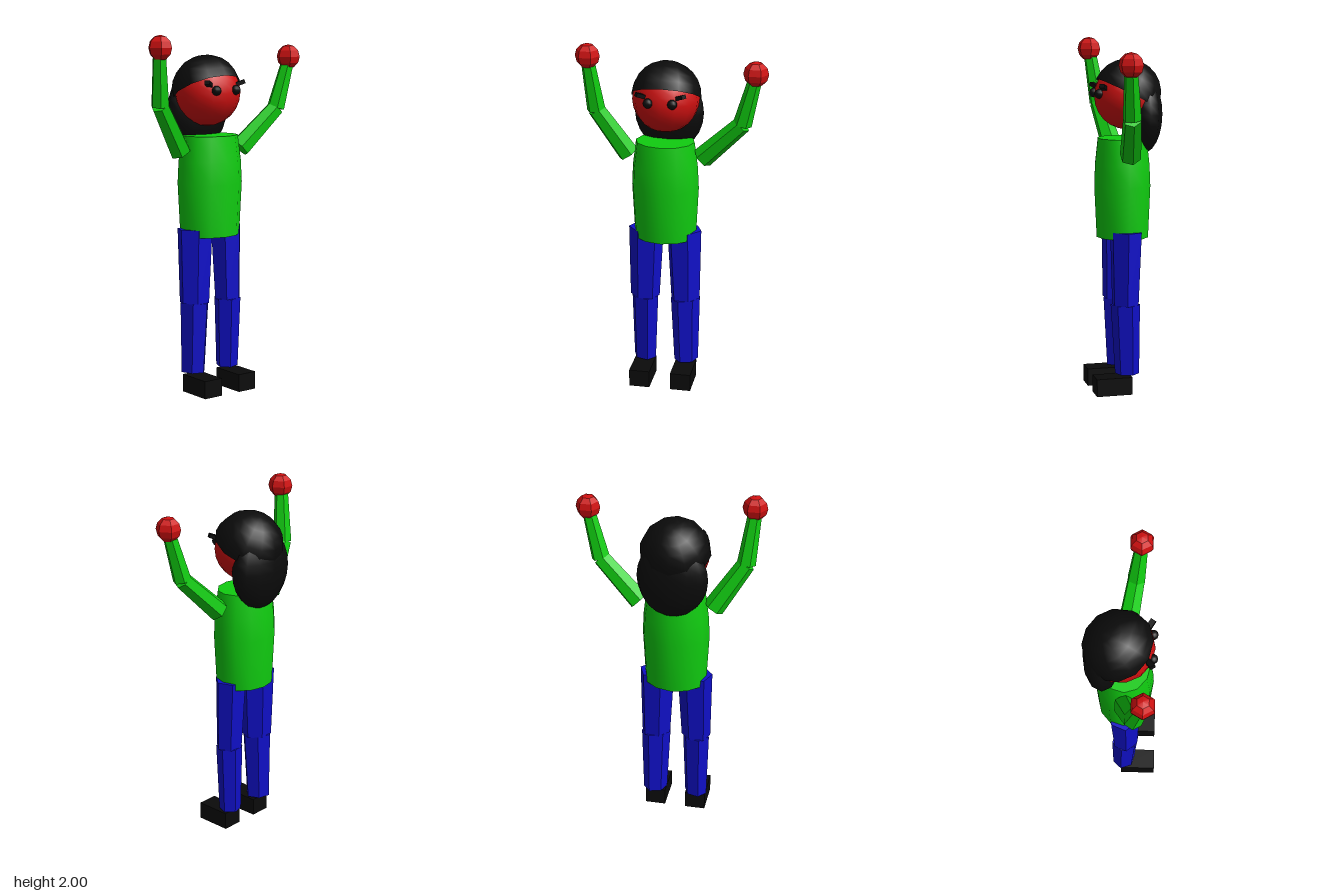
import * as THREE from 'three';
import { toCreasedNormals } from 'three/addons/utils/BufferGeometryUtils.js';

const mat = (name, color) => {
  const m = new THREE.MeshStandardMaterial({ color });
  m.name = name;
  return m;
};

export function createModel() {
  const model = new THREE.Group();
  model.name = 'figure';
  const skin = mat('red skin', 0xd01010);
  const shirt = mat('green shirt', 0x10cc10);
  const trousers = mat('blue trousers', 0x1010c8);
  const black = mat('black hair and shoes', 0x0b0b0b);
  black.side = THREE.DoubleSide;

  const add = (name, geometry, material, x, y, z, parent = model) => {
    const mesh = new THREE.Mesh(geometry, material);
    mesh.name = name;
    mesh.position.set(x, y, z);
    parent.add(mesh);
    return mesh;
  };
  // Faceted geometry, smooth across shallow angles only
  const creased = (g, degrees) => toCreasedNormals(g, THREE.MathUtils.degToRad(degrees));
  // Turned solid with closed ends; profile rows are [radius, height] from the bottom up
  const turned = (rows, sides, crease) => {
    const pts = [[0, rows[0][1]], ...rows, [0, rows[rows.length - 1][1]]];
    return creased(new THREE.LatheGeometry(pts.map(p => new THREE.Vector2(...p)), sides), crease);
  };
  // Tapered six-sided limb between two points
  const limb = (name, from, to, r0, r1, material, parent) => {
    const a = new THREE.Vector3(...from), b = new THREE.Vector3(...to);
    const dir = b.clone().sub(a);
    const g = creased(new THREE.CylinderGeometry(r1, r0, dir.length(), 6), 20);
    const mid = a.add(b).multiplyScalar(0.5);
    const mesh = add(name, g, material, mid.x, mid.y, mid.z, parent);
    mesh.quaternion.setFromUnitVectors(new THREE.Vector3(0, 1, 0), dir.normalize());
    return mesh;
  };

  const midZ = 0.05; // the body's centre line; it faces +x

  // Torso
  const torso = add('torso',
    turned([[0.175, 0.885], [0.19, 1.18], [0.184, 1.3], [0.165, 1.445]], 12, 35),
    shirt, 0.016, 0, midZ);
  torso.scale.x = 0.85;

  // Legs and shoes
  for (const s of [1, -1]) {
    const side = s > 0 ? 'far' : 'near';
    const leg = new THREE.Group();
    leg.name = side + 'Leg';
    model.add(leg);
    const thigh = limb('thigh', [0.021, 0.925, midZ + s * 0.109], [0.027, 0.51, midZ + s * 0.118],
      0.089, 0.075, trousers, leg);
    const shin = limb('shin', [0.027, 0.512, midZ + s * 0.118], [0.018, 0.113, midZ + s * 0.122],
      0.075, 0.062, trousers, leg);
    thigh.scale.x = shin.scale.x = 1.15;
    add('shoe', new THREE.BoxGeometry(0.205, 0.1, 0.118), black, 0.1025, 0.05, midZ + s * 0.12, leg);
  }

  // Raised arms: shoulder, elbow, wrist, hand centre
  const arms = {
    leftArm: [[0.02, 1.36, 0.257], [0.068, 1.62, 0.425], [0.108, 1.9, 0.457], [0.115, 1.932, 0.457]],
    rightArm: [[0.02, 1.36, -0.16], [0.068, 1.58, -0.385], [0.09, 1.83, -0.45], [0.092, 1.87, -0.457]],
  };
  for (const [name, [shoulder, elbow, wrist, palm]] of Object.entries(arms)) {
    const arm = new THREE.Group();
    arm.name = name;
    model.add(arm);
    limb('upperArm', shoulder, elbow, 0.061, 0.05, shirt, arm);
    limb('forearm', elbow, wrist, 0.052, 0.038, shirt, arm);
    const hand = add('hand', creased(new THREE.SphereGeometry(0.069, 6, 6), 20), skin, ...palm, arm);
    hand.rotation.y = Math.PI / 2;
  }

  // Head
  add('head', new THREE.SphereGeometry(0.186, 14, 12), skin, -0.01, 1.68, midZ);

  // Hair: a cap tilted back over the head and a long mass behind
  const cap = add('hairCap',
    new THREE.SphereGeometry(0.196, 12, 6, 0, Math.PI * 2, 0, Math.PI / 2), black, -0.012, 1.692, midZ);
  cap.rotation.z = 0.46;
  const back = add('backHair', new THREE.SphereGeometry(1, 12, 12), black, -0.1, 1.58, midZ);
  back.scale.set(0.106, 0.226, 0.196);

  // Eyes and slanting brows
  for (const s of [1, -1]) {
    add('eye', new THREE.SphereGeometry(0.027, 10, 8), black, 0.163, 1.697, midZ + s * 0.067);
    const brow = add('brow', new THREE.BoxGeometry(0.03, 0.022, 0.085), black,
      0.14, 1.729, midZ + s * 0.098);
    brow.rotation.set(-s * 0.35, s * 0.6, 0, 'YXZ');
  }
  return model;
}
